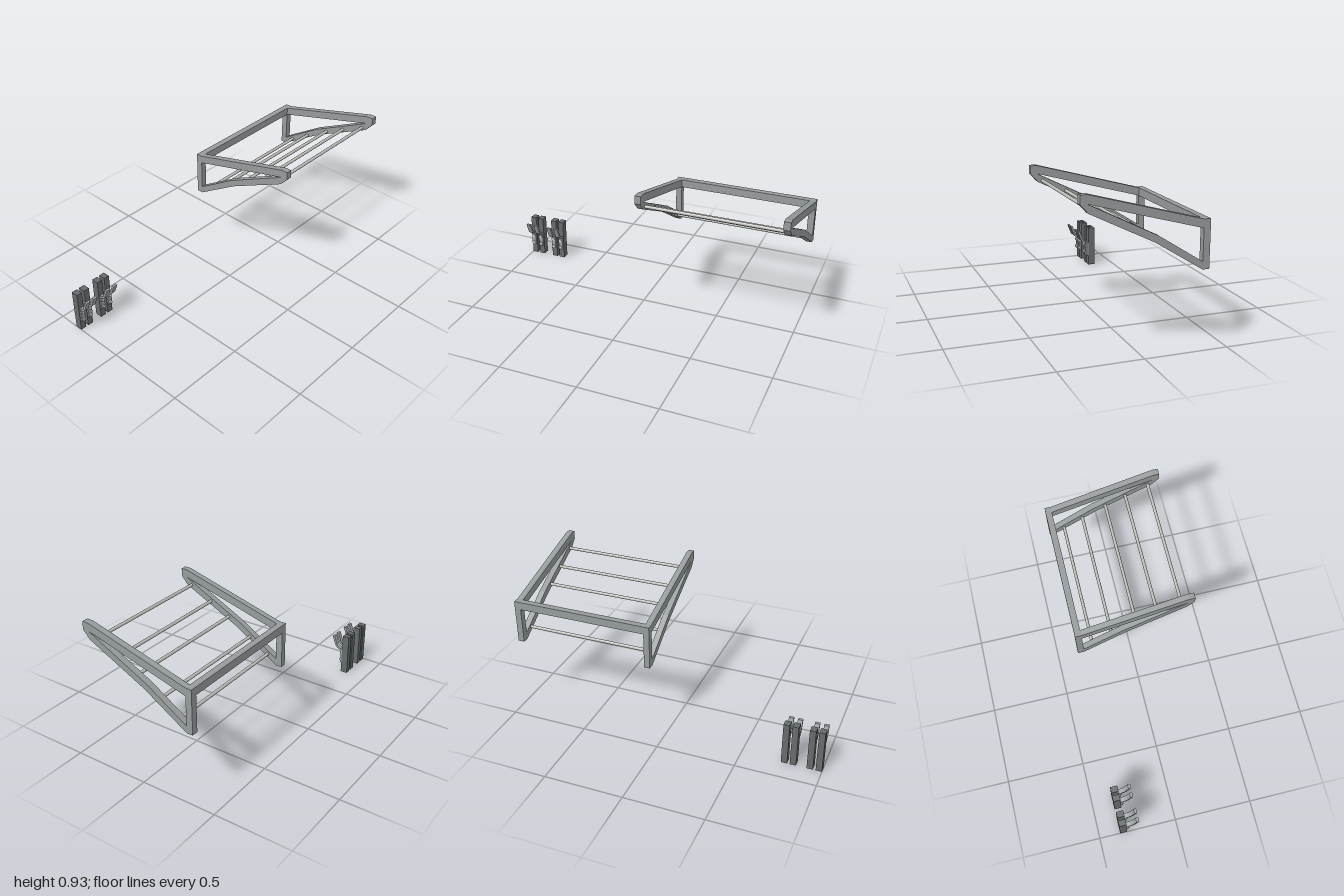
import * as THREE from 'three';

const mat = (name, color) => {
  const m = new THREE.MeshStandardMaterial({ color });
  m.name = name;
  return m;
};

// Extrudes a (z, y) outline along x, from x0 to x1
function sidePlate(name, outline, hole, x0, x1, material) {
  const toPoints = (list) => list.map(([z, y]) => new THREE.Vector2(z, y));
  const shape = new THREE.Shape(toPoints(outline));
  if (hole) shape.holes.push(new THREE.Path(toPoints(hole)));
  const geo = new THREE.ExtrudeGeometry(shape, { depth: x1 - x0, bevelEnabled: false });
  geo.rotateY(-Math.PI / 2);
  geo.translate(x1, 0, 0);
  const mesh = new THREE.Mesh(geo, material);
  mesh.name = name;
  return mesh;
}

function box(name, x0, x1, y0, y1, z0, z1, material) {
  const mesh = new THREE.Mesh(new THREE.BoxGeometry(x1 - x0, y1 - y0, z1 - z0), material);
  mesh.position.set((x0 + x1) / 2, (y0 + y1) / 2, (z0 + z1) / 2);
  mesh.name = name;
  return mesh;
}

export function createModel() {
  const frameGrey = mat('frame grey', 0x969b9c);
  const boardGrey = mat('dark board grey', 0x666b6c);
  const strapGrey = mat('strap grey', 0x9ea3a6);
  const rodSteel = mat('rod steel', 0xbcbcb8);
  const screwSteel = mat('bright screw steel', 0xd2d4d5);
  const model = new THREE.Group();
  model.name = 'wallRackAndHooks';

  // Wall rack: two bracket sides joined by a back rail and five rods
  const rack = new THREE.Group();
  rack.name = 'rack';
  const outer = [[0.37, 0.93], [0.33, 0.93], [-0.33, 0.75], [-0.37, 0.75], [-0.37, 0.47],
    [-0.33, 0.47], [-0.05, 0.645], [0.325, 0.83], [0.37, 0.88]];
  const inner = [[0.33, 0.88], [-0.33, 0.7], [-0.33, 0.515], [-0.07, 0.68]];
  rack.add(sidePlate('rightBracket', outer, inner, 0.093, 0.13, frameGrey));
  rack.add(sidePlate('leftBracket', outer, inner, 0.96, 1.0, frameGrey));
  rack.add(box('backRail', 0.13, 0.96, 0.7, 0.75, -0.37, -0.33, frameGrey));
  const rodGeo = new THREE.CylinderGeometry(0.01, 0.01, 0.85, 16).rotateZ(Math.PI / 2);
  for (const [z, y] of [[0.296, 0.836], [0.149, 0.766], [0.016, 0.698], [-0.141, 0.607], [-0.269, 0.528]]) {
    const rod = new THREE.Mesh(rodGeo, rodSteel);
    rod.name = 'rod';
    rod.position.set(0.545, y, z);
    rack.add(rod);
  }
  model.add(rack);

  // Wall hooks: a board, a bent strap and two screws each
  const strap = [[-0.32, 0.068], [-0.308, 0.068], [-0.308, 0.162], [-0.287, 0.168], [-0.268, 0.183],
    [-0.239, 0.255], [-0.256, 0.255], [-0.278, 0.193], [-0.296, 0.178], [-0.32, 0.168]];
  const screwGeo = new THREE.CylinderGeometry(0.011, 0.011, 0.012, 16).rotateX(Math.PI / 2);
  for (const x of [-0.981, -0.926, -0.823, -0.768]) {
    const hook = new THREE.Group();
    hook.name = 'hook';
    hook.add(box('board', x - 0.019, x + 0.019, 0, 0.277, -0.366, -0.32, boardGrey));
    hook.add(sidePlate('strap', strap, null, x - 0.015, x + 0.015, strapGrey));
    for (const y of [0.14, 0.086]) {
      const screw = new THREE.Mesh(screwGeo, screwSteel);
      screw.name = 'screw';
      screw.position.set(x, y, -0.306);
      hook.add(screw);
    }
    model.add(hook);
  }
  return model;
}
